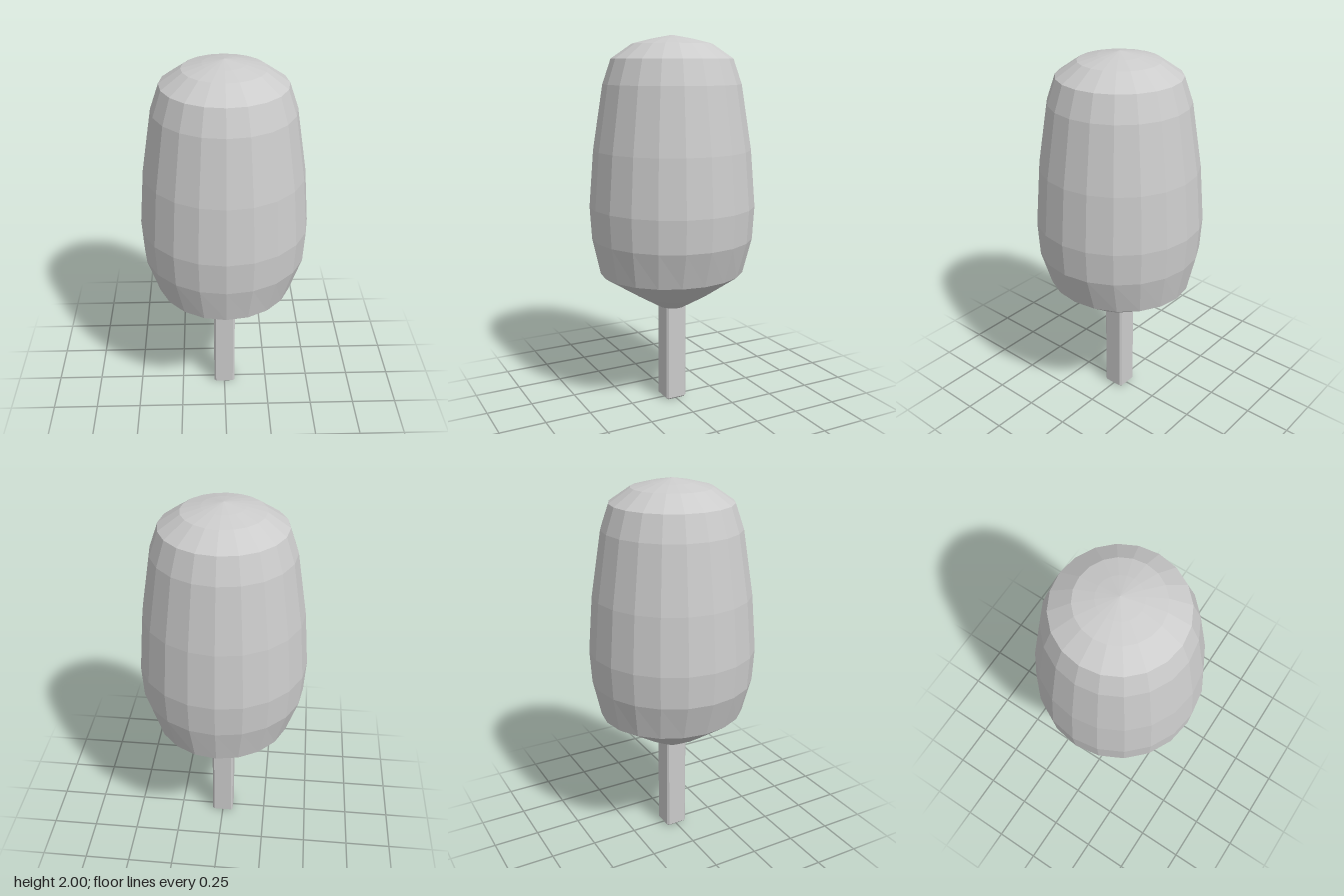
import * as THREE from 'three';

const SIDES = 20;

export function createModel() {
  const group = new THREE.Group();
  const material = new THREE.MeshStandardMaterial({ color: 0xcccccc, flatShading: true });
  const add = (name, geometry) => {
    const mesh = new THREE.Mesh(geometry, material);
    mesh.name = name;
    group.add(mesh);
    return mesh;
  };

  // Faceted body: [radius, height] from the underside to the domed top
  const rimY = 0.74;
  const profile = [
    [0, 0.535], [0.075, 0.54], [0.2, 0.615], [0.395, rimY], [0.435, 0.935],
    [0.445, 1.11], [0.42, 1.41], [0.365, 1.75], [0.32, 1.88],
    [0.21, 1.955], [0.11, 1.98], [0, 2],
  ].map(([r, y]) => new THREE.Vector2(r, y));
  const body = new THREE.LatheGeometry(profile, SIDES);

  // The lower rim is slightly narrower across x
  const pos = body.attributes.position;
  for (let i = 0; i < pos.count; i++) {
    if (Math.abs(pos.getY(i) - rimY) < 0.001) pos.setX(i, pos.getX(i) * 0.935);
  }
  add('body', body);

  // Square stick with chamfered sides and ends
  const h = 0.05, c = 0.01, top = 0.56;
  const outline = new THREE.Shape([
    [-h, -h], [h, -h], [h, h], [-h, h],
  ].map(([x, y]) => new THREE.Vector2(x, y)));
  const stick = new THREE.ExtrudeGeometry(outline, {
    depth: top - 2 * c, bevelEnabled: true, bevelSegments: 1, bevelSize: c, bevelThickness: c,
  });
  // Chamfer the vertical edges by replacing the square with an eight-sided outline
  const w = h + c;
  const octagon = new THREE.Shape([
    [-h, -w], [h, -w], [w, -h], [w, h], [h, w], [-h, w], [-w, h], [-w, -h],
  ].map(([x, y]) => new THREE.Vector2(x, y)));
  stick.dispose();
  const chamfered = new THREE.ExtrudeGeometry(octagon, {
    depth: top - 2 * c, bevelEnabled: true, bevelSegments: 1,
    bevelSize: c, bevelOffset: -c, bevelThickness: c,
  });
  chamfered.translate(0, 0, c).rotateX(-Math.PI / 2);
  add('stick', chamfered);

  return group;
}
